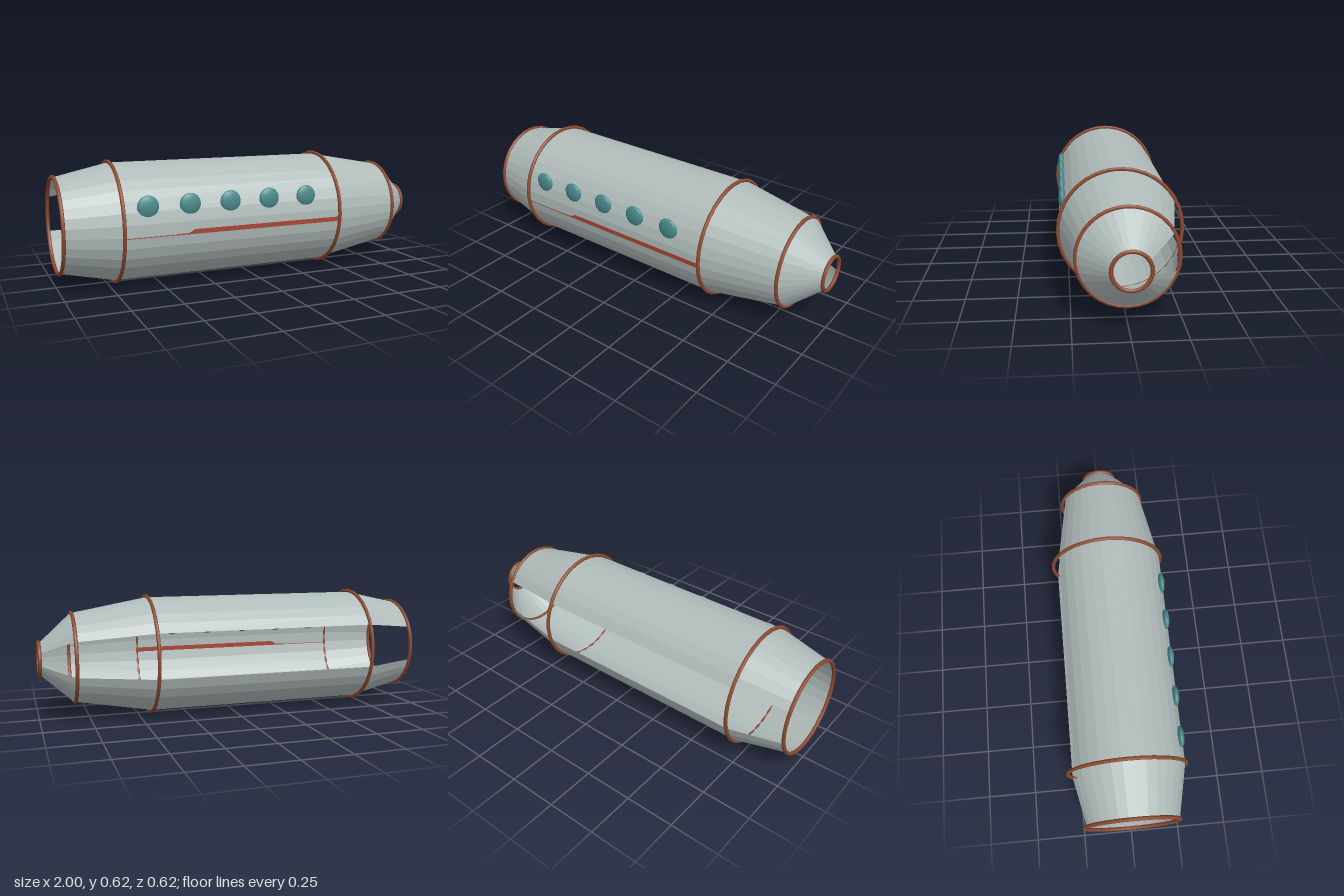
import * as THREE from 'three';

const SIDES = 32;
const STEP = (Math.PI * 2) / SIDES;
const AXIS_Y = 0.313;

export function createModel() {
  const model = new THREE.Group();
  model.name = 'fuselage';

  const hull = new THREE.MeshStandardMaterial({ color: 0xb0bcba, flatShading: true, side: THREE.DoubleSide });
  hull.name = 'hull grey';
  const copper = new THREE.MeshStandardMaterial({ color: 0x8b4a30 });
  copper.name = 'copper brown';
  const glass = new THREE.MeshStandardMaterial({ color: 0x4a8a8c });
  glass.name = 'teal glass';
  const red = new THREE.MeshStandardMaterial({ color: 0xa54535 });
  red.name = 'stripe red';

  const add = (name, geometry, material, x, y, z) => {
    const mesh = new THREE.Mesh(geometry, material);
    mesh.name = name;
    mesh.position.set(x, y, z);
    model.add(mesh);
    return mesh;
  };

  // Open shell sections along x; four facets are left out at the back
  const section = (name, x0, r0, x1, r1) => {
    const profile = [new THREE.Vector2(r0, x0), new THREE.Vector2(r1, x1)];
    const geometry = new THREE.LatheGeometry(profile, SIDES - 4, Math.PI + 2.5 * STEP, Math.PI * 2 - 4 * STEP);
    geometry.rotateZ(-Math.PI / 2);
    add(name, geometry, hull, 0, AXIS_Y, 0);
  };
  section('tailSection', -0.99, 0.236, -0.72, 0.296);
  section('mainSection', -0.72, 0.296, 0.44, 0.295);
  section('foreSection', 0.44, 0.295, 0.83, 0.225);
  section('noseCone', 0.83, 0.225, 0.985, 0.083);

  // Hoops over every joint and both open ends
  const hoops = [
    ['tailHoop', -0.99, 0.239], ['rearHoop', -0.72, 0.303], ['frontHoop', 0.44, 0.302],
    ['foreHoop', 0.825, 0.228], ['noseHoop', 0.99, 0.086],
  ];
  for (const [name, x, radius] of hoops) {
    const geometry = new THREE.TorusGeometry(radius, 0.0095, 8, SIDES);
    geometry.rotateY(Math.PI / 2);
    add(name, geometry, copper, x, AXIS_Y, 0);
  }

  // Row of lens-shaped portholes on the front side
  for (let i = 0; i < 5; i++) {
    const lens = add('porthole', new THREE.SphereGeometry(1, 24, 16), glass, -0.6 + i * 0.211, 0.424, 0.278);
    lens.scale.set(0.054, 0.054, 0.019);
  }

  // Stripe that narrows to a hairline toward the tail
  const outline = new THREE.Shape([
    [-0.72, 0.278], [0.44, 0.278], [0.44, 0.301], [-0.37, 0.301],
    [-0.4, 0.285], [-0.46, 0.283], [-0.47, 0.281], [-0.72, 0.281],
  ].map(([x, y]) => new THREE.Vector2(x, y)));
  const stripe = new THREE.ExtrudeGeometry(outline, { depth: 0.004, bevelEnabled: false });
  add('sideStripe', stripe, red, 0, 0, 0.292);

  return model;
}
